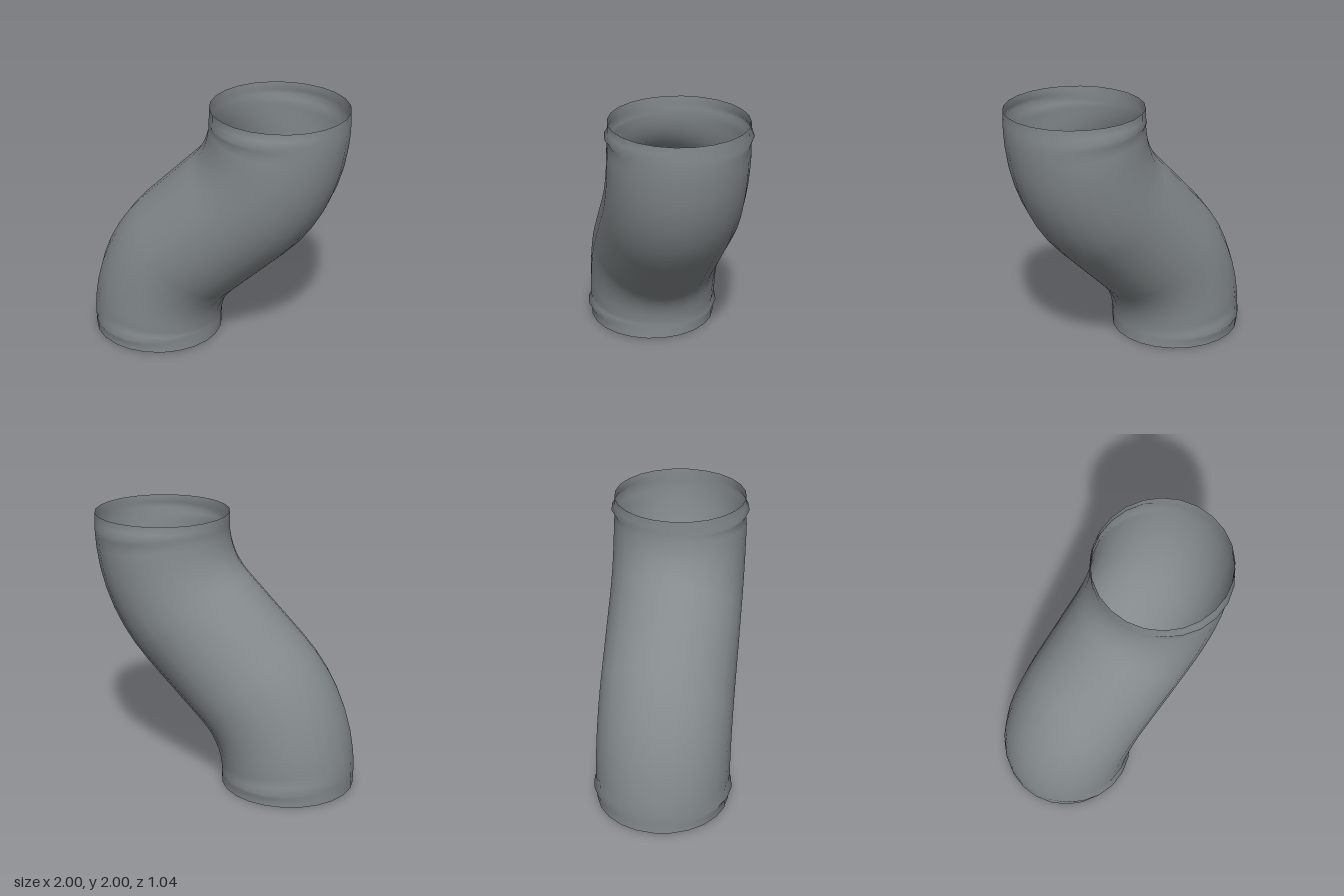
import * as THREE from 'three';

const SIDES = 24;
const COLLAR = 0.1;      // straight length at each end
const BEND = 0.966;      // centreline bend radius
const BEND_STEPS = 7;

// Lower half of the run: centre (x, y), tilt from vertical, radius, bead height
function lowerRings() {
  const rings = [
    { x: -0.5, y: 0, tilt: 0, r: 0.498, bead: -0.006 },
    { x: -0.5, y: 0.06, tilt: 0, r: 0.498, bead: -0.006 },
    { x: -0.5, y: COLLAR, tilt: 0, r: 0.5, bead: 0.018 },
    { x: -0.5, y: 0.14, tilt: 0.04, r: 0.5, bead: -0.008 },
  ];
  for (let i = 1; i <= BEND_STEPS; i++) {
    const tilt = (i / BEND_STEPS) * Math.PI / 4;
    rings.push({
      x: -0.5 + BEND * (1 - Math.cos(tilt)),
      y: COLLAR + BEND * Math.sin(tilt),
      tilt, r: 0.5, bead: 0,
    });
  }
  return rings;
}

// Open tube lofted through circular rings in the xy plane
function loft(rings) {
  const positions = [], index = [];
  rings.forEach(({ x, y, tilt, r, bead }, i) => {
    for (let j = 0; j < SIDES; j++) {
      const a = (j / SIDES) * Math.PI * 2;
      // the bead swells mostly on the front and back
      const radius = r + bead * Math.sin(a) ** 4;
      const across = radius * Math.cos(a);
      positions.push(
        x + across * Math.cos(tilt),
        y - across * Math.sin(tilt),
        radius * Math.sin(a));
      if (i < rings.length - 1) {
        const k = (j + 1) % SIDES;
        const p = i * SIDES + j, q = i * SIDES + k;
        index.push(p, p + SIDES, q, q, p + SIDES, q + SIDES);
      }
    }
  });
  const geometry = new THREE.BufferGeometry();
  geometry.setAttribute('position', new THREE.Float32BufferAttribute(positions, 3));
  geometry.setIndex(index);
  geometry.computeVertexNormals();
  return geometry;
}

export function createModel() {
  const metal = new THREE.MeshStandardMaterial({ color: 0x858b8d, side: THREE.DoubleSide });
  metal.name = 'grey metal';

  // The upper half is the lower half turned 180 degrees about (0, 1)
  const lower = lowerRings();
  const upper = lower.map((s) => ({ ...s, x: -s.x, y: 2 - s.y })).reverse();

  const pipe = new THREE.Mesh(loft([...lower, ...upper]), metal);
  pipe.name = 'offsetPipe';

  const group = new THREE.Group();
  group.name = 'pipeBend';
  group.add(pipe);
  return group;
}
